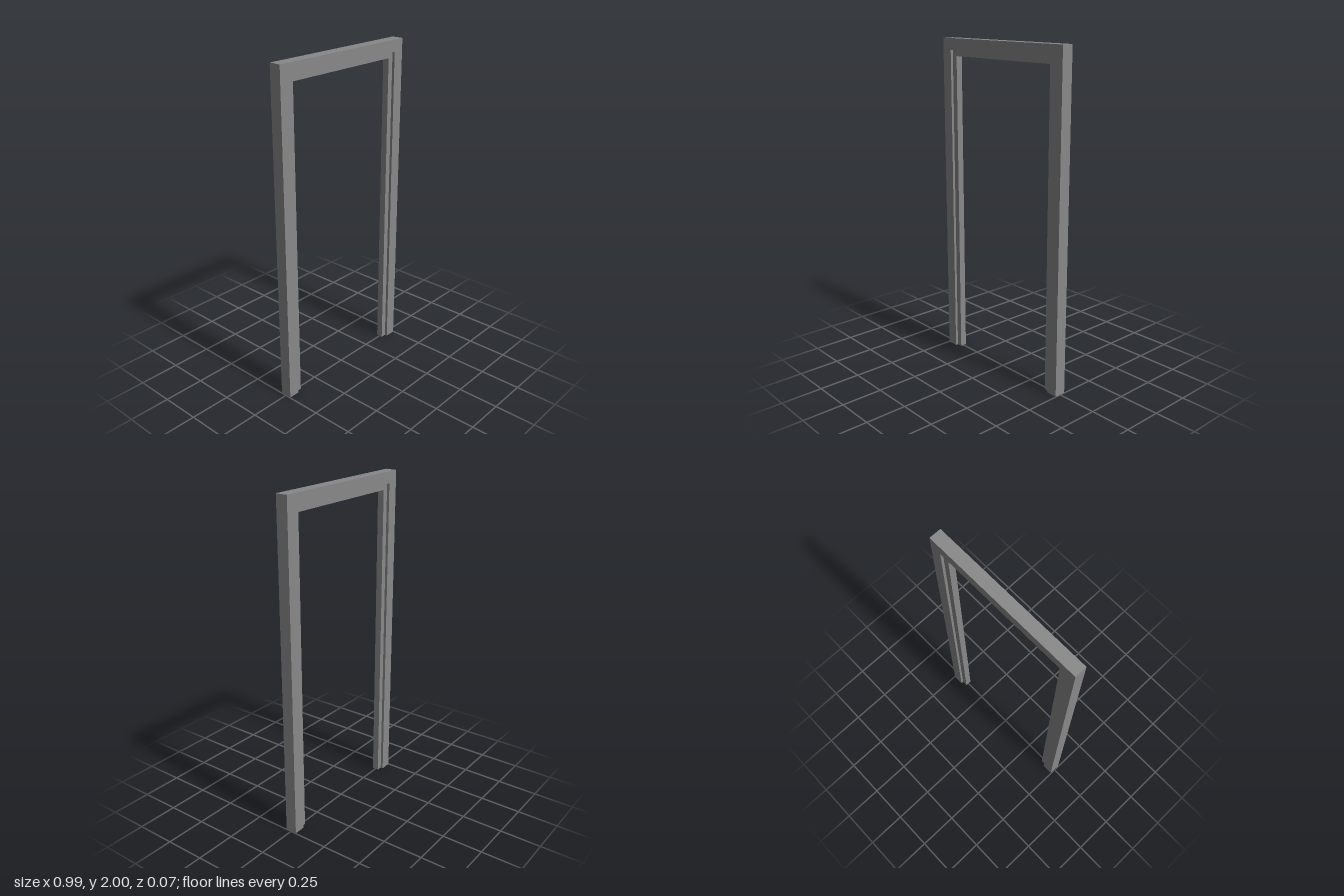
import * as THREE from 'three';

const HALF_WIDTH = 0.497;
const HEIGHT = 2;

// Jamb cross-section: [inset from the outer edge, z], with the stop strip centred in depth
const profile = [
  [0, 0.036], [0.07, 0.036], [0.07, 0.02], [0.105, 0.02],
  [0.105, -0.02], [0.07, -0.02], [0.07, -0.036], [0, -0.036],
];

// Mitred path of one profile point: up one jamb, across the head, down the other
function pathOf([inset, z]) {
  const x = HALF_WIDTH - inset;
  const y = HEIGHT - inset;
  return [[-x, 0, z], [-x, y, z], [x, y, z], [x, 0, z]];
}

export function createModel() {
  const group = new THREE.Group();
  group.name = 'doorway';

  // Sweep the profile around the opening; the feet stay open
  const paths = profile.map(pathOf);
  const positions = [];
  paths.forEach((p, i) => {
    const q = paths[(i + 1) % paths.length];
    for (let s = 0; s < 3; s++) {
      const [a, b, c, d] = [p[s], q[s], q[s + 1], p[s + 1]];
      positions.push(...a, ...b, ...c, ...a, ...c, ...d);
    }
  });

  const geometry = new THREE.BufferGeometry();
  geometry.setAttribute('position', new THREE.Float32BufferAttribute(positions, 3));
  geometry.computeVertexNormals();

  const material = new THREE.MeshStandardMaterial({
    color: 0x888888, flatShading: true, side: THREE.DoubleSide,
  });
  const frame = new THREE.Mesh(geometry, material);
  frame.name = 'doorFrame';
  group.add(frame);
  return group;
}
